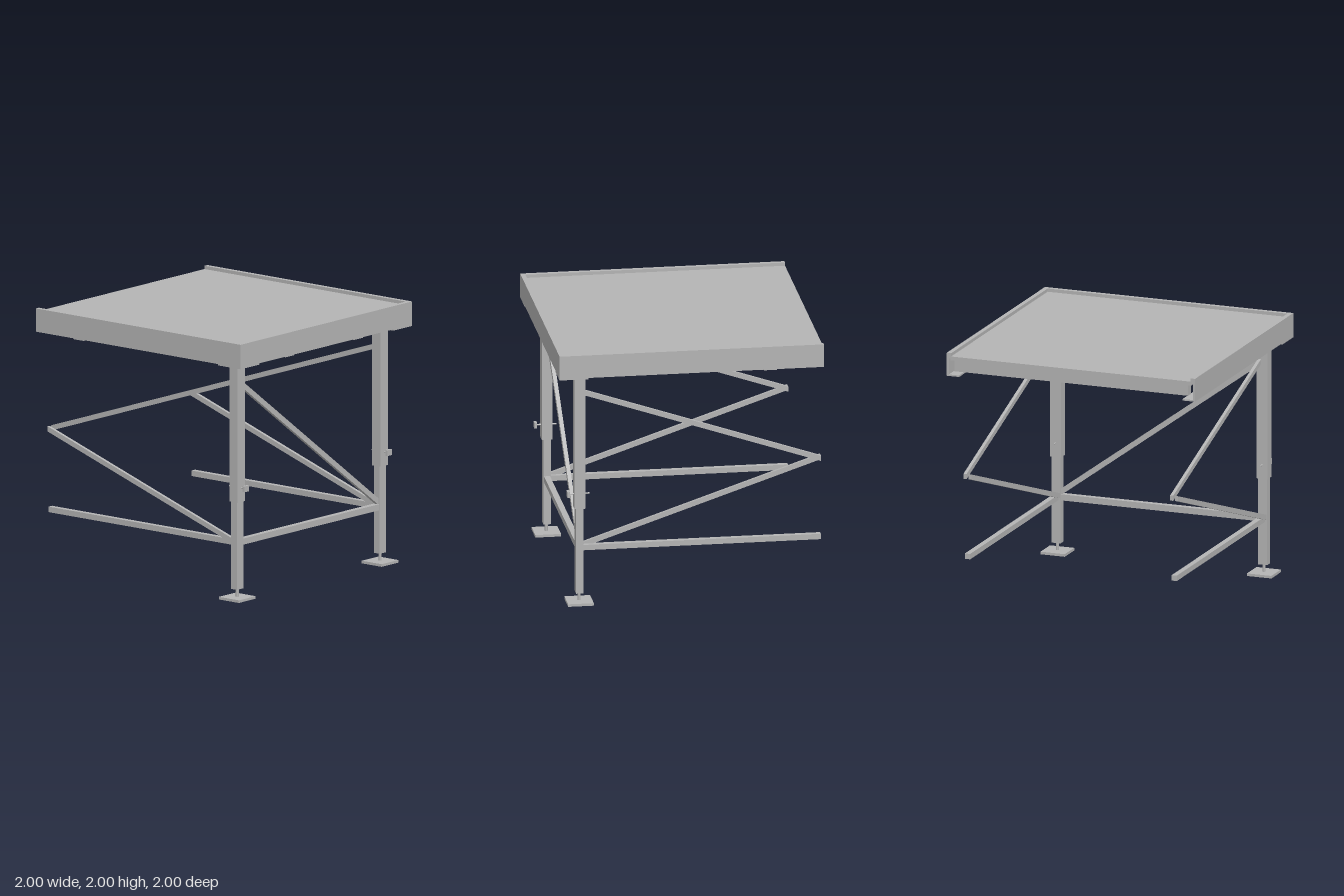
import * as THREE from 'three';

export function createModel() {
  const group = new THREE.Group();
  group.name = 'stagePlatform';
  const metal = new THREE.MeshStandardMaterial({ color: 0xb4b4b4 });
  metal.name = 'grey metal';

  const add = (name, geometry, parent = group) => {
    const mesh = new THREE.Mesh(geometry, metal);
    mesh.name = name;
    parent.add(mesh);
    return mesh;
  };
  // box from its lower and upper limits on each axis
  const box = (name, x0, x1, y0, y1, z0, z1, parent) =>
    add(name, new THREE.BoxGeometry(x1 - x0, y1 - y0, z1 - z0), parent)
      .position.set((x0 + x1) / 2, (y0 + y1) / 2, (z0 + z1) / 2);
  // sloping bar with upright ends, centred on its depth
  const slope = (u0, y0, u1, y1, half, depth) => {
    const s = new THREE.Shape([
      new THREE.Vector2(u0, y0 - half), new THREE.Vector2(u1, y1 - half),
      new THREE.Vector2(u1, y1 + half), new THREE.Vector2(u0, y0 + half),
    ]);
    return new THREE.ExtrudeGeometry(s, { depth, bevelEnabled: false }).translate(0, 0, -depth / 2);
  };
  // edge channel running along z, outer face at x = 0, inside towards -x
  const channel = (length) => {
    const s = new THREE.Shape([
      [0, 1.822], [0, 2], [-0.035, 2], [-0.035, 1.96], [-0.018, 1.96],
      [-0.018, 1.834], [-0.1, 1.834], [-0.1, 1.822],
    ].map(([x, y]) => new THREE.Vector2(x, y)));
    return new THREE.ExtrudeGeometry(s, { depth: length, bevelEnabled: false }).translate(0, 0, -length / 2);
  };

  // deck and the beams beneath it
  box('deck', -1, 0.97, 1.945, 1.975, -0.97, 0.97);
  box('middleJoist', -0.04, 0.04, 1.86, 1.945, -0.94, 0.94);
  box('endJoist', -0.99, -0.93, 1.86, 1.945, -0.94, 0.94);

  // channels on three sides, open at -x
  add('sideChannel', channel(2)).position.x = 1;
  for (const side of [1, -1]) {
    const edge = add('edgeChannel', channel(2));
    edge.rotation.y = side > 0 ? -Math.PI / 2 : Math.PI / 2;
    edge.position.z = side;
  }

  // fixing pads under the channels
  for (const side of [1, -1]) {
    box('sidePad', 0.88, 0.98, 1.81, 1.824, side * 0.4 - 0.05, side * 0.4 + 0.05);
    box('edgePad', -0.65, -0.55, 1.81, 1.824, side * 0.94 - 0.04, side * 0.94 + 0.04);
  }

  // legs, feet and long braces
  for (const side of [1, -1]) {
    const z = side * 0.832;
    const leg = new THREE.Group();
    leg.name = 'leg';
    leg.position.z = z;
    group.add(leg);
    box('upperTube', 0.787, 0.868, 0.75, 1.945, -0.044, 0.044, leg);
    box('lowerTube', 0.798, 0.855, 0.08, 0.75, -0.037, 0.037, leg);
    box('footPlate', 0.73, 0.925, 0, 0.02, -0.098, 0.098, leg);
    add('footScrew', new THREE.CylinderGeometry(0.012, 0.012, 0.07, 12), leg).position.set(0.828, 0.05, 0);

    // locking bolt with square head
    const bolt = add('lockBolt', new THREE.CylinderGeometry(0.006, 0.006, 0.16, 10), leg);
    bolt.rotation.z = Math.PI / 2;
    bolt.position.set(0.83, 0.858, 0);
    box('boltHead', 0.9, 0.92, 0.835, 0.88, -0.026, 0.026, leg);

    // corner plates
    const z0 = side > 0 ? 0.78 : -1;
    box('cornerPlate', 0.78, 1, 1.812, 1.824, z0, z0 + 0.22);
    box('cornerClamp', 0.88, 0.9, 1.8, 1.83, side * 0.86 - 0.08, side * 0.86 + 0.08);

    // braces towards the open end
    box('lowerRail', -1, 0.8, 0.415, 0.457, z - 0.021, z + 0.021);
    add('upperBrace', slope(-1, 1.055, 0.79, 1.66, 0.02, 0.025)).position.z = z - 0.02;
    add('lowerBrace', slope(-1, 1.055, 0.8, 0.45, 0.02, 0.025)).position.z = z + 0.02;
  }

  // cross rail and diagonal between the legs
  box('crossRail', 0.805, 0.85, 0.413, 0.46, -0.8, 0.8);
  const diagonal = add('crossBrace', slope(-0.79, 1.64, 0.8, 0.475, 0.025, 0.03));
  diagonal.rotation.y = Math.PI / 2;
  diagonal.position.x = 0.828;

  return group;
}
